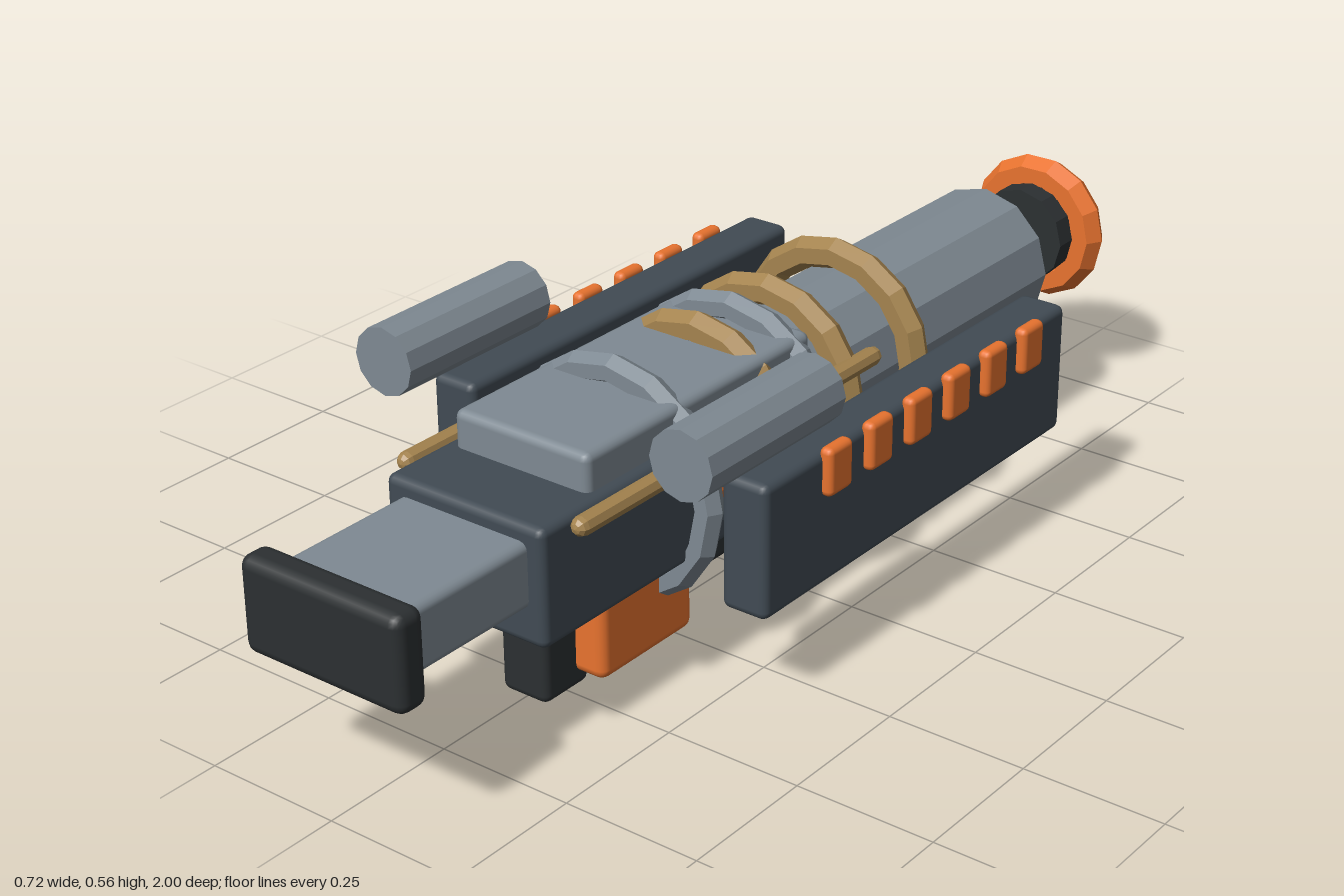
import * as THREE from 'three';
import { RoundedBoxGeometry } from 'three/addons/geometries/RoundedBoxGeometry.js';

export function createModel() {
  const model = new THREE.Group();
  model.name = 'heavyLauncher';

  const paint = (color, flatShading = false) => new THREE.MeshStandardMaterial({ color, flatShading });
  const steel = paint(0x7f8a93, true), steelSmooth = paint(0x7f8a93);
  const slate = paint(0x414b54), black = paint(0x2c3032), blackFlat = paint(0x2c3032, true);
  const orange = paint(0xe8732f), orangeFlat = paint(0xe8732f, true), brass = paint(0xa5844f, true);

  const add = (name, geometry, material) => {
    const mesh = new THREE.Mesh(geometry, material);
    mesh.name = name;
    model.add(mesh);
    return mesh;
  };

  // Rounded box given by its extents on each axis
  const block = (name, [x0, x1], [y0, y1], [z0, z1], material, radius = 0.015) => {
    const g = new RoundedBoxGeometry(x1 - x0, y1 - y0, z1 - z0, 2, radius);
    g.translate((x0 + x1) / 2, (y0 + y1) / 2, (z0 + z1) / 2);
    return add(name, g, material);
  };

  // Cylinder lying along z
  const tube = (name, r, x, y, [z0, z1], material, sides = 12) => {
    const g = new THREE.CylinderGeometry(r, r, z1 - z0, sides);
    g.rotateX(Math.PI / 2).translate(x, y, (z0 + z1) / 2);
    return add(name, g, material);
  };

  // Faceted ring around the z axis
  const ring = (name, r, t, y, z, material, segments = 16) =>
    add(name, new THREE.TorusGeometry(r, t, 6, segments).translate(0, y, z), material);

  // Stock and receiver
  block('buttPad', [-0.162, 0.162], [0.235, 0.402], [0.94, 1.0], black, 0.02);
  block('stock', [-0.13, 0.13], [0.265, 0.38], [0.64, 0.95], steelSmooth);
  block('receiver', [-0.16, 0.16], [0.2, 0.408], [-0.03, 0.685], slate);
  block('receiverCover', [-0.137, 0.137], [0.37, 0.473], [-0.03, 0.55], steelSmooth);

  // Parts under the receiver
  block('grip', [-0.048, 0.048], [0, 0.23], [0.45, 0.56], black);
  block('magazine', [-0.105, 0.105], [0.028, 0.187], [0.25, 0.485], orange, 0.018);
  block('foregrip', [-0.06, 0.06], [0.08, 0.22], [-0.005, 0.157], black);

  // Barrel, energy core and muzzle
  tube('barrel', 0.138, 0, 0.319, [-0.775, 0.02], steel);
  tube('core', 0.169, 0, 0.303, [0.04, 0.28], orangeFlat, 16);
  tube('muzzleCollar', 0.093, 0, 0.322, [-0.95, -0.9], blackFlat);
  ring('muzzleRing', 0.109, 0.033, 0.321, -0.971, orangeFlat, 14);

  // Brass coils along the barrel, steel hoops around the core
  for (const z of [0.1, -0.095, -0.293]) ring('coil', 0.169, 0.029, 0.32, z, brass);
  for (const z of [0.008, 0.318]) ring('coreHoop', 0.192, 0.026, 0.303, z, steel);

  // Mirrored side assemblies
  for (const s of [-1, 1]) {
    const side = s > 0 ? 'left' : 'right';
    const span = (a, b) => (s > 0 ? [a, b] : [-b, -a]);
    block(side + 'Rail', span(0.256, 0.345), [0.172, 0.411], [-0.5, 0.375], slate);
    for (let i = 0; i < 6; i++) {
      const z = 0.195 - i * 0.1135;
      block(side + 'RailVent', span(0.336, 0.362), [0.335, 0.421], [z - 0.032, z + 0.032], orange, 0.011);
    }
    tube(side + 'Pod', 0.06, s * 0.302, 0.5, [0.19, 0.53], steel);
    const rod = new THREE.CapsuleGeometry(0.017, 0.762, 3, 8);
    rod.rotateX(Math.PI / 2).translate(s * 0.178, 0.395, 0.233);
    add(side + 'Conduit', rod, brass);
  }

  return model;
}
